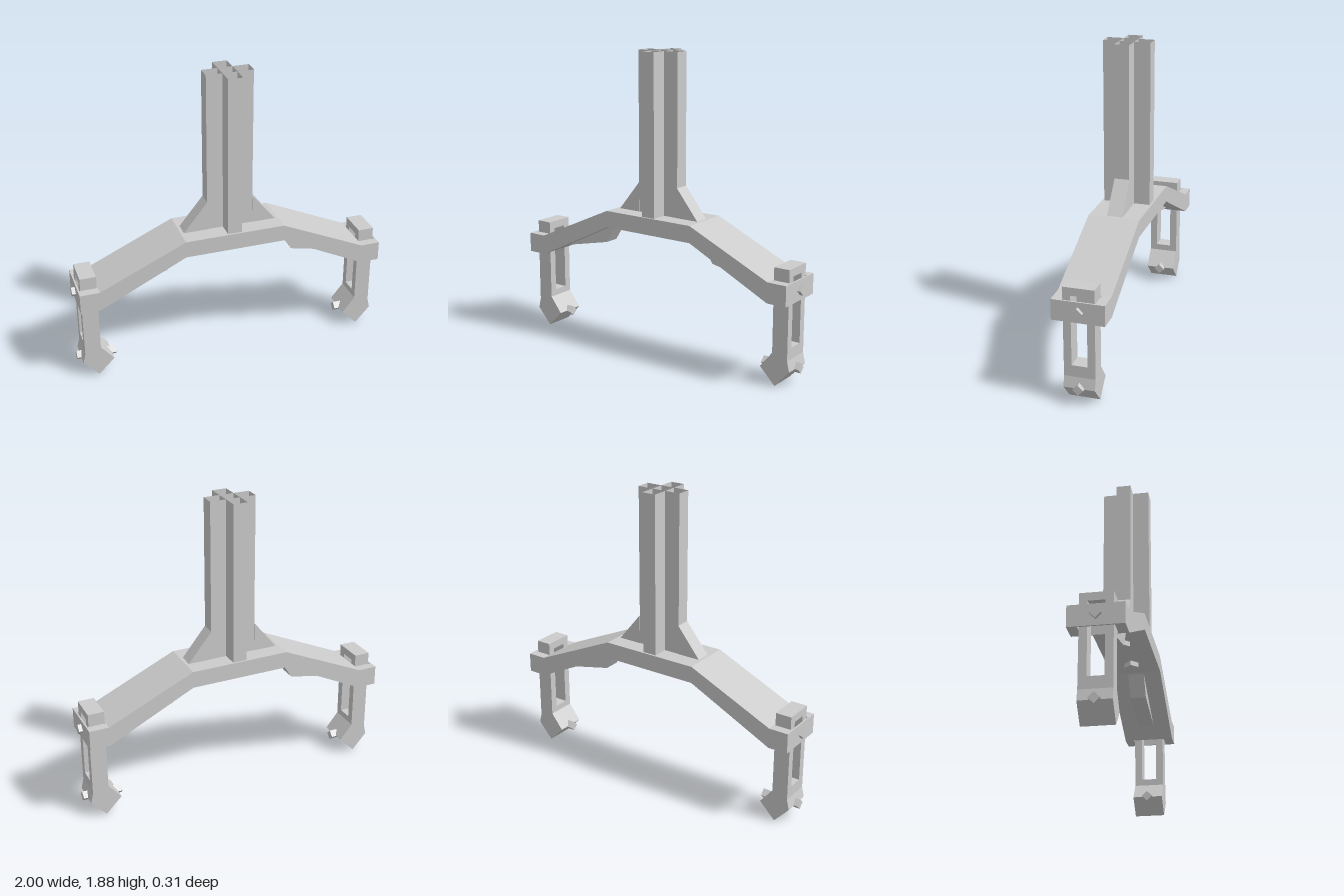
import * as THREE from 'three';

const mat = new THREE.MeshStandardMaterial({ color: 0xcccccc, flatShading: true });
const thin = new THREE.MeshStandardMaterial({ color: 0xcccccc, flatShading: true, side: THREE.DoubleSide });

const polygon = (Type, pts) => new Type(pts.map(([x, y]) => new THREE.Vector2(x, y)));
const rect = (Type, x0, y0, x1, y1) => polygon(Type, [[x0, y0], [x1, y0], [x1, y1], [x0, y1]]);

function add(parent, name, geometry, material = mat) {
  const mesh = new THREE.Mesh(geometry, material);
  mesh.name = name;
  parent.add(mesh);
  return mesh;
}

// Side profile in x/y, extruded symmetrically about z = 0
function slab(pts, width) {
  const geo = new THREE.ExtrudeGeometry(polygon(THREE.Shape, pts), { depth: width, bevelEnabled: false });
  return geo.translate(0, 0, -width / 2);
}

// Square peg along x, standing on its edge
function peg(parent, name, x0, x1, y) {
  const side = 0.032 * Math.SQRT2;
  const mesh = add(parent, name, new THREE.BoxGeometry(x1 - x0, side, side));
  mesh.position.set((x0 + x1) / 2, y, 0);
  mesh.rotation.x = Math.PI / 4;
}

// Everything on one side, built towards +x
function createSide() {
  const side = new THREE.Group();

  // Triangular brace at the foot of the post
  add(side, 'gusset', slab([[0.145, 0.885], [0.295, 0.885], [0.145, 1.07]], 0.095));

  // Stiffening rib below the sloping arm
  add(side, 'rib', slab([[0.32, 0.785], [0.41, 0.645], [0.75, 0.57], [0.7, 0.62]], 0.1));

  // Socket block at the end of the arm, with a vertical opening for the leg
  const socket = rect(THREE.Shape, 0.855, -0.157, 0.977, 0.157);
  socket.holes.push(rect(THREE.Path, 0.859, -0.1, 0.967, 0.1));
  add(side, 'socket', new THREE.ExtrudeGeometry(socket, { depth: 0.125, bevelEnabled: false })
    .rotateX(-Math.PI / 2).translate(0, 0.515, 0));

  // Leg with a long slot through it
  const leg = rect(THREE.Shape, -0.093, 0.2, 0.093, 0.715);
  leg.holes.push(rect(THREE.Path, -0.047, 0.24, 0.047, 0.667));
  add(side, 'leg', new THREE.ExtrudeGeometry(leg, { depth: 0.1, bevelEnabled: false })
    .rotateY(Math.PI / 2).translate(0.86, 0, 0));

  // Pointed foot
  add(side, 'foot', slab([[0.86, 0.2], [0.78, 0.1], [0.88, 0], [0.975, 0.105], [0.96, 0.17], [0.96, 0.2]], 0.186));

  // Pegs
  peg(side, 'socketPeg', 0.965, 1, 0.58);
  peg(side, 'footOuterPeg', 0.93, 1, 0.108);
  peg(side, 'footInnerPeg', 0.75, 0.84, 0.098);
  const under = add(side, 'undersidePeg', new THREE.BoxGeometry(0.062, 0.06, 0.062));
  under.position.set(0.16, 0.78, 0);
  under.rotation.y = Math.PI / 4;
  return side;
}

export function createModel() {
  const model = new THREE.Group();
  model.name = 'twoLeggedStand';

  // Bent cross beam
  const half = [[0.855, 0.515], [0.855, 0.64], [0.315, 0.885]];
  const mirrored = half.map(([x, y]) => [-x, y]).reverse();
  add(model, 'beam', slab([[0.315, 0.78], ...half, ...mirrored, [-0.315, 0.78]], 0.314));

  // Hollow post: two crossing thin-walled tubes, open at the top
  const post = new THREE.Group();
  post.name = 'post';
  model.add(post);
  const height = 1;
  for (const turn of [0, 1, 2, 3]) {
    const arm = new THREE.Group();
    arm.name = 'postArm';
    arm.rotation.y = turn * Math.PI / 2;
    post.add(arm);
    for (const s of [-1, 1]) {
      const wall = add(arm, 'armWall', new THREE.PlaneGeometry(0.1, height), thin);
      wall.position.set(0.095, 0.885 + height / 2, s * 0.045);
    }
    for (const x of [0.045, 0.145]) {
      const wall = add(arm, 'crossWall', new THREE.PlaneGeometry(0.09, height), thin);
      wall.position.set(x, 0.885 + height / 2, 0);
      wall.rotation.y = Math.PI / 2;
    }
  }

  // The two sides, the second turned half way round
  ['leftSide', 'rightSide'].forEach((name, i) => {
    const side = createSide();
    side.name = name;
    side.rotation.y = i * Math.PI;
    model.add(side);
  });
  return model;
}
